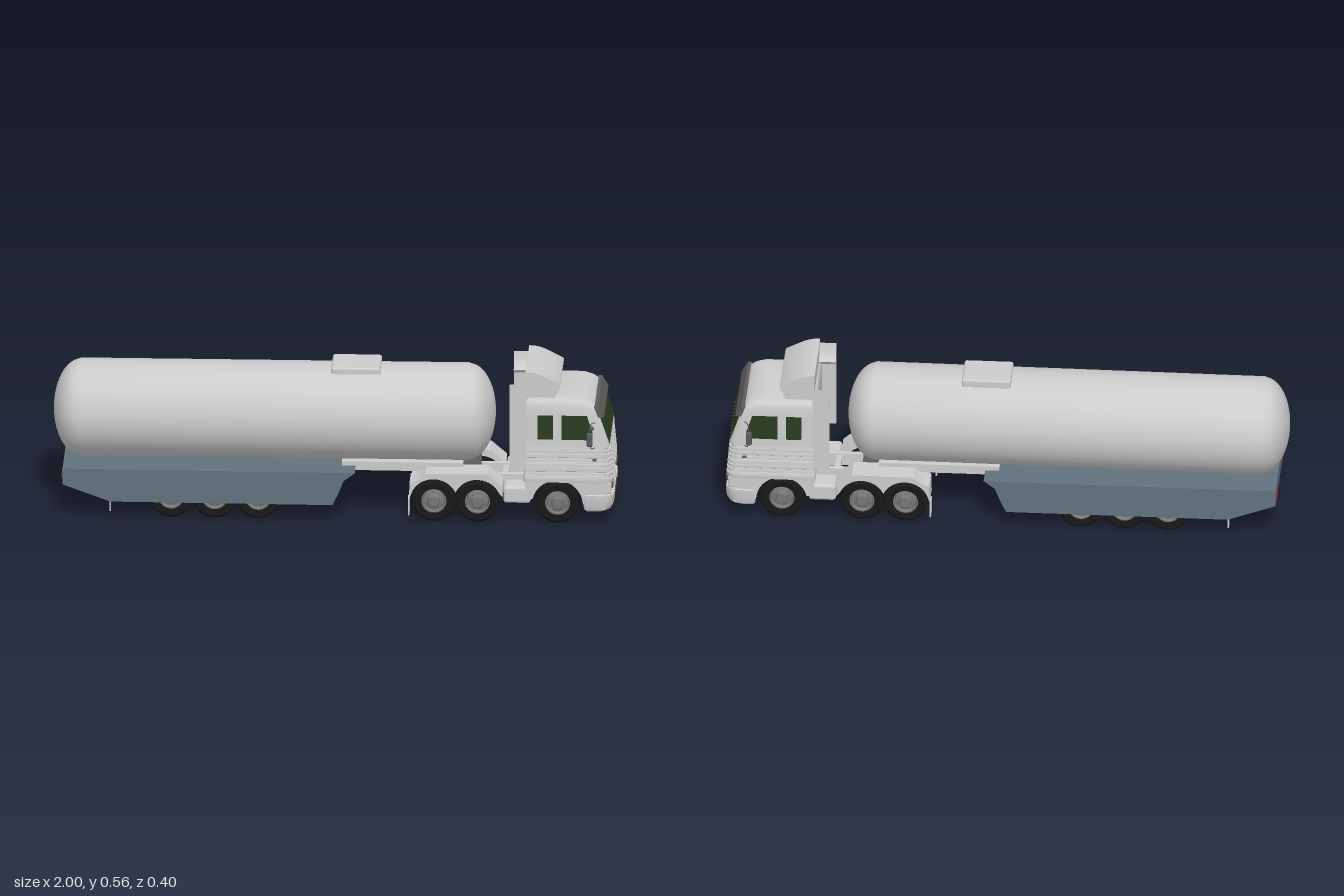
import * as THREE from 'three';
import { toCreasedNormals } from 'three/addons/utils/BufferGeometryUtils.js';
import { RoundedBoxGeometry } from 'three/addons/geometries/RoundedBoxGeometry.js';

const mat = (color) => new THREE.MeshStandardMaterial({ color, side: THREE.DoubleSide });
const grey = mat(0xcccccc), blue = mat(0x61727d), black = mat(0x181818), rimGrey = mat(0x777777);
const glass = mat(0x2c3b20), dark = mat(0x5c5c5c), amber = mat(0xc08850), red = mat(0xa03028);

export function createModel() {
  const root = new THREE.Group();
  const add = (name, geo, m = grey, parent = root) => {
    const mesh = new THREE.Mesh(geo, m);
    mesh.name = name;
    parent.add(mesh);
    return mesh;
  };
  // box given by its limits
  const box = (name, x0, x1, y0, y1, z0, z1, m, r = 0) => {
    const s = [x1 - x0, y1 - y0, z1 - z0];
    const g = r ? new RoundedBoxGeometry(...s, 2, r) : new THREE.BoxGeometry(...s);
    return add(name, g.translate((x0 + x1) / 2, (y0 + y1) / 2, (z0 + z1) / 2), m);
  };
  const poly = (pts) => new THREE.Shape(pts.map(([x, y]) => new THREE.Vector2(x, y)));
  // side profile (x, y) extruded across z
  const across = (shape, z0, z1) => toCreasedNormals(
    new THREE.ExtrudeGeometry(shape, { depth: z1 - z0, bevelEnabled: false, curveSegments: 14 }).translate(0, 0, z0), 0.5);

  // ---- tank ----
  const L = 0.69, cap = 0.096, R = 0.18, profile = [];
  for (let i = 0; i <= 12; i++) {
    const a = i / 12 * Math.PI / 2;
    profile.push(new THREE.Vector2(R * Math.sin(a) * (i < 12 ? 0.985 : 1), -L - cap * Math.cos(a)));
  }
  for (let i = 12; i >= 0; i--) profile.push(new THREE.Vector2(profile[i].x, -profile[i].y));
  const tank = add('tank', toCreasedNormals(new THREE.LatheGeometry(profile, 48).rotateZ(-Math.PI / 2), 0.5));
  tank.scale.y = 0.96;
  tank.position.set(-0.213, 0.357, -0.004);
  tank.rotation.z = 0.004;
  box('tankHatch', -0.01, 0.165, 0.505, 0.541, -0.085, 0.066, grey, 0.009);

  // ---- trailer ----
  add('trailerSkirt', across(poly([[-0.96, 0.185], [-0.96, 0.125], [-0.79, 0.063], [0, 0.063],
    [0.018, 0.1], [0.04, 0.155], [0.08, 0.185]]), -0.18, 0.18), blue);
  box('trailerNeck', 0.03, 0.46, 0.168, 0.2, -0.1, 0.1);
  for (const s of [-1, 1]) {
    box('tailLight', -0.964, -0.958, 0.143, 0.16, s * 0.135 - 0.025, s * 0.135 + 0.025, red);
    box('trailerMudflap', -0.793, -0.789, 0.022, 0.075, s * 0.15 - 0.018, s * 0.15 + 0.018);
  }

  // ---- wheels ----
  const lathe = (pts) => new THREE.LatheGeometry(pts.map(([r, y]) => new THREE.Vector2(r, y)), 32).rotateX(Math.PI / 2);
  const tyreGeo = toCreasedNormals(lathe([[0.046, -0.04], [0.068, -0.042], [0.076, -0.034], [0.076, 0.034],
    [0.068, 0.042], [0.046, 0.04], [0.042, 0.03]]), 0.6);
  const rimGeo = toCreasedNormals(lathe([[0, -0.036], [0.046, -0.036], [0.047, 0.036], [0.041, 0.038],
    [0.037, 0.024], [0.022, 0.03], [0.018, 0.042], [0, 0.042]]), 0.6);
  const nutGeo = new THREE.CylinderGeometry(0.003, 0.003, 0.01, 6).rotateX(Math.PI / 2);
  const axles = [-0.575, -0.42, -0.265, 0.36, 0.515, 0.8];
  axles.forEach((x) => {
    for (const s of [-1, 1]) {
      const wheel = new THREE.Group();
      wheel.name = 'wheel';
      add('tyre', tyreGeo, black, wheel);
      add('rim', rimGeo, rimGrey, wheel);
      for (let i = 0; i < 8; i++) {
        const a = i * Math.PI / 4;
        add('wheelNut', nutGeo, rimGrey, wheel).position.set(0.03 * Math.cos(a), 0.03 * Math.sin(a), 0.03);
      }
      wheel.position.set(x, 0.077, s * 0.121);
      if (s < 0) wheel.rotation.y = Math.PI;
      root.add(wheel);
    }
    add('axle', new THREE.CylinderGeometry(0.014, 0.014, 0.2, 12).rotateX(Math.PI / 2).translate(x, 0.077, 0), dark);
  });

  // ---- tractor chassis ----
  for (const s of [-1, 1]) box('frameRail', 0.28, 0.95, 0.105, 0.15, s * 0.055 - 0.01, s * 0.055 + 0.01);
  for (const x of [0.29, 0.44, 0.6, 0.7]) box('crossMember', x, x + 0.02, 0.11, 0.145, -0.05, 0.05);
  box('couplingPlate', 0.36, 0.52, 0.145, 0.175, -0.07, 0.07, dark);
  const fender = poly([[0.272, 0.085], [0.274, 0.15], [0.3, 0.158], [0.33, 0.185], [0.55, 0.187],
    [0.575, 0.165], [0.605, 0.14], [0.605, 0.1]]);
  for (const x of [0.515, 0.36]) fender.absarc(x, 0.08, 0.085, 0.42, Math.PI - 0.42, false);
  for (const s of [-1, 1]) {
    add('rearFender', across(fender, Math.min(s * 0.075, s * 0.174), Math.max(s * 0.075, s * 0.174)));
    box('fuelTank', 0.607, 0.705, 0.075, 0.138, s * 0.122 - 0.045, s * 0.122 + 0.045, grey, 0.012);
    box('tractorMudflap', 0.268, 0.273, 0.025, 0.09, s * 0.15 - 0.02, s * 0.15 + 0.02);
  }

  // ---- cab: rounded rectangles stacked upwards, rows are [y, back, front, halfWidth, frontRadius] ----
  const loft = (rows) => {
    const pos = [], idx = [], K = 5;
    for (const [y, xb, xf, w, r] of rows) {
      const corners = [[1, 1, r], [-1, 1, 0.012], [-1, -1, 0.012], [1, -1, r]];
      corners.forEach(([sx, sz, q], c) => {
        for (let k = 0; k <= K; k++) {
          const a = (c + k / K) * Math.PI / 2;
          pos.push((sx > 0 ? xf - q : xb + q) + q * Math.cos(a), y, sz * (w - q) + q * Math.sin(a));
        }
      });
    }
    const n = 4 * (K + 1), last = (rows.length - 1) * n;
    for (let j = 0; j < rows.length - 1; j++) for (let i = 0; i < n; i++) {
      const a = j * n + i, b = j * n + (i + 1) % n;
      idx.push(a, a + n, b, b, a + n, b + n);
    }
    for (let i = 1; i < n - 1; i++) idx.push(0, i, i + 1, last, last + i + 1, last + i);
    const g = new THREE.BufferGeometry();
    g.setAttribute('position', new THREE.Float32BufferAttribute(pos, 3));
    g.setIndex(idx);
    return toCreasedNormals(g, 0.6);
  };
  const rows = [[0.16, 0.68, 0.996, 0.175, 0.03]];
  // grille ribs wrap softly round the sides
  for (let i = 0; i < 7; i++) {
    const y = 0.167 + i * 0.0175, f = 0.998 - i * 0.0015, w = 0.174 + 0.002 * Math.cos(i * 2.1);
    rows.push([y, 0.68, f, w, 0.03], [y + 0.012, 0.68, f, w, 0.03],
      [y + 0.0135, 0.68, f - 0.008, w - 0.001, 0.025], [y + 0.0165, 0.68, f - 0.008, w - 0.001, 0.025]);
  }
  rows.push([0.292, 0.68, 0.988, 0.174, 0.025], [0.305, 0.68, 0.984, 0.173, 0.018], [0.405, 0.68, 0.95, 0.168, 0.015],
    [0.44, 0.68, 0.936, 0.166, 0.02], [0.455, 0.682, 0.92, 0.162, 0.03], [0.464, 0.688, 0.9, 0.154, 0.03],
    [0.468, 0.7, 0.87, 0.14, 0.03]);
  add('cabBody', loft(rows));
  // interpolated column of the rows at height y
  const at = (y, col) => {
    const i = Math.max(1, rows.findIndex((r) => r[0] >= y)), a = rows[i - 1], b = rows[i];
    return THREE.MathUtils.mapLinear(y, a[0], b[0], a[col], b[col]);
  };

  // lower cab sides with wheel arch, and bumper
  const lower = poly([[0.9, 0.06], [0.97, 0.06], [0.985, 0.165], [0.685, 0.165], [0.685, 0.11], [0.7, 0.095]]);
  lower.absarc(0.8, 0.077, 0.09, Math.PI - 0.2, 0.1, true);
  add('lowerCab', across(lower, -0.172, 0.172));
  add('bumper', loft([[0.047, 0.9, 0.975, 0.16, 0.04], [0.056, 0.895, 0.99, 0.172, 0.045],
    [0.075, 0.892, 0.999, 0.177, 0.045], [0.112, 0.895, 1, 0.177, 0.045], [0.115, 0.895, 0.992, 0.174, 0.04]]));
  box('lampPanel', 0.94, 0.992, 0.115, 0.16, -0.168, 0.168, grey, 0.008);
  box('centreStep', 0.98, 0.997, 0.11, 0.13, -0.09, 0.09);
  box('numberPlate', 0.99, 1.0015, 0.088, 0.105, -0.048, 0.046, dark);
  for (const s of [-1, 1]) {
    box('headlight', 0.98, 0.999, 0.135, 0.155, s * 0.124 - 0.016, s * 0.124 + 0.016, amber);
    box('headlightFrame', 0.98, 0.9965, 0.132, 0.158, s * 0.124 - 0.019, s * 0.124 + 0.019, dark);
    box('fogLight', 0.98, 1.0015, 0.086, 0.1, s * 0.124 - 0.014, s * 0.124 + 0.014, amber);
  }

  // ---- glazing laid onto the cab surface ----
  const frontPane = (name, y0, y1, w0, w1, off, m) => {
    const pts = [[y0, w0], [y0, -w0], [y1, -w1], [y0, w0], [y1, -w1], [y1, w1]];
    const g = new THREE.BufferGeometry();
    g.setAttribute('position', new THREE.Float32BufferAttribute(pts.flatMap(([y, z]) => [at(y, 2) + off, y, z]), 3));
    g.computeVertexNormals();
    add(name, g, m);
  };
  frontPane('windshield', 0.306, 0.405, 0.165, 0.162, 0.002, glass);
  add('sunVisor', across(poly([[0.93, 0.444], [0.944, 0.444], [0.966, 0.407], [0.945, 0.405]]), -0.166, 0.166), dark);
  const windows = [[[0.73, 0.322], [0.784, 0.322], [0.784, 0.412], [0.73, 0.412]],
    [[0.815, 0.322], [0.925, 0.322], [0.925, 0.35], [0.905, 0.412], [0.815, 0.412]]];
  for (const s of [-1, 1]) for (const pts of windows) {
    const g = new THREE.ShapeGeometry(poly(pts)), p = g.attributes.position;
    for (let i = 0; i < p.count; i++) p.setZ(i, at(p.getY(i), 3) + 0.0015);
    g.computeVertexNormals();
    add('sideWindow', g, glass).scale.z = s;
  }

  // ---- roof deflector and side fairings ----
  const deflector = poly([[0.69, 0.46], [0.685, 0.563]]);
  deflector.quadraticCurveTo(0.72, 0.565, 0.76, 0.543);
  deflector.lineTo(0.805, 0.52);
  deflector.quadraticCurveTo(0.815, 0.512, 0.8, 0.495);
  deflector.lineTo(0.785, 0.46);
  add('roofDeflector', across(deflector, -0.139, 0.139));
  for (const s of [-1, 1]) {
    const wing = poly([[0.166, 0.205], [0.174, 0.205], [0.173, 0.528]].map(([z, y]) => [-s * z, y]));
    wing.quadraticCurveTo(-s * 0.163, 0.48, -s * 0.14, 0.468);
    wing.lineTo(-s * 0.15, 0.455);
    wing.lineTo(-s * 0.166, 0.455);
    const g = new THREE.ExtrudeGeometry(wing, { depth: 0.06, bevelEnabled: false }).rotateY(Math.PI / 2).translate(0.63, 0, 0);
    add('sideFairing', toCreasedNormals(g, 0.5));

    // mirrors, door handles and markers
    box('mirror', 0.905, 0.926, 0.304, 0.356, s * 0.191 - 0.008, s * 0.191 + 0.008, dark, 0.006);
    const arm = new THREE.CatmullRomCurve3([[0.935, 0.385, 0.166], [0.922, 0.388, 0.183], [0.916, 0.37, 0.191],
      [0.916, 0.31, 0.191], [0.922, 0.294, 0.185], [0.935, 0.294, 0.17]].map(([x, y, z]) => new THREE.Vector3(x, y, s * z)));
    add('mirrorArm', new THREE.TubeGeometry(arm, 20, 0.0018, 6), dark);
    box('doorHandle', 0.815, 0.84, 0.283, 0.29, s * 0.174 - 0.004, s * 0.174 + 0.004);
    box('sideMarker', 0.925, 0.94, 0.245, 0.251, s * 0.176 - 0.004, s * 0.176 + 0.004, dark);
  }
  add('roundMirror', new THREE.SphereGeometry(0.009, 14, 10).translate(0.922, 0.372, 0.19), dark);
  return root;
}
